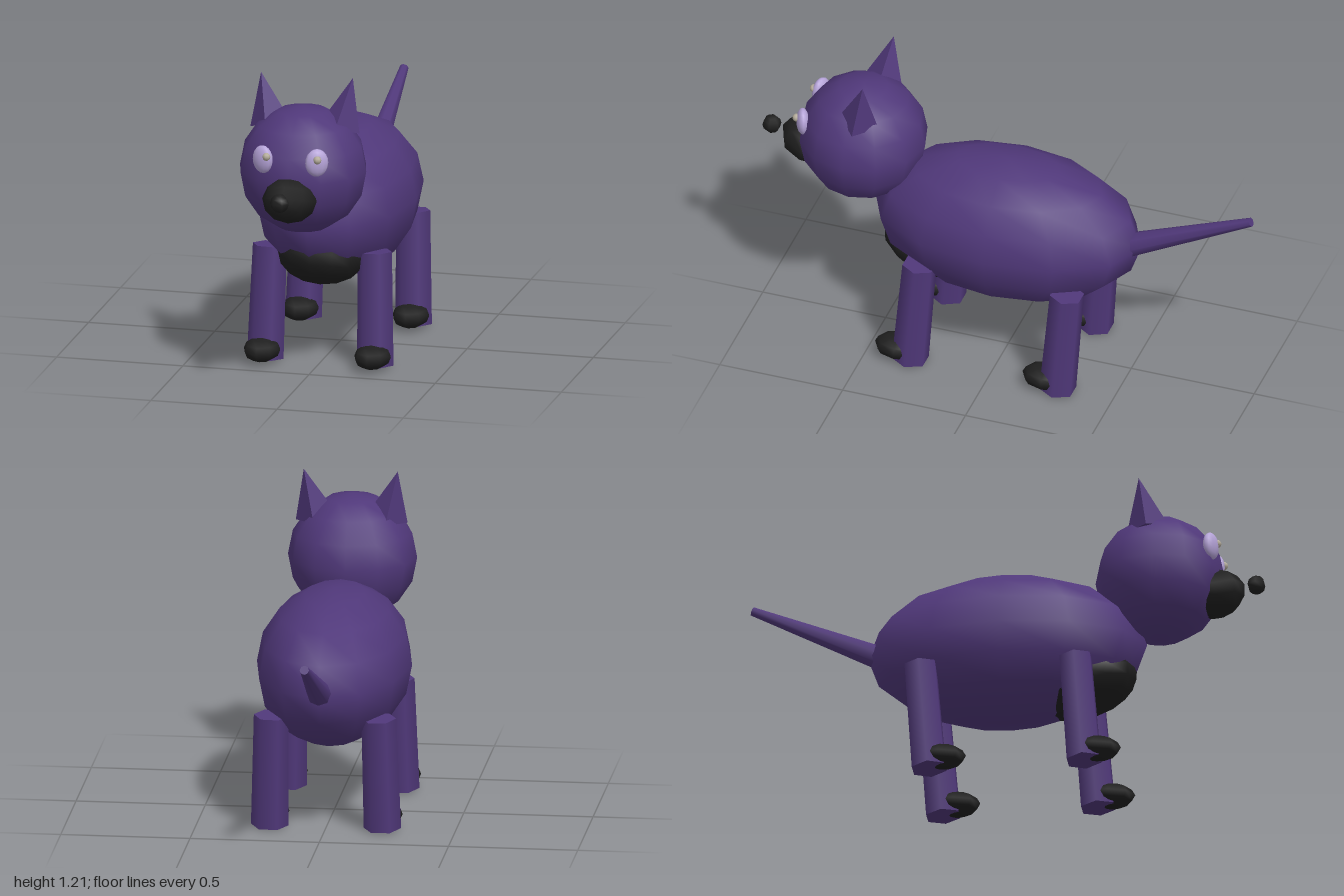
import * as THREE from 'three';

export function createModel() {
  const material = (name, color) => {
    const m = new THREE.MeshStandardMaterial({ color });
    m.name = name;
    return m;
  };
  const purple = material('purple fur', 0x50387a);
  const black = material('black', 0x1f1f1f);
  const lavender = material('lavender eye', 0xb5a3d8);
  const beige = material('beige pupil', 0xb5ad9c);

  const root = new THREE.Group();
  root.name = 'animal';

  const add = (name, geometry, mat, x, y, z) => {
    const mesh = new THREE.Mesh(geometry, mat);
    mesh.name = name;
    mesh.position.set(x, y, z);
    root.add(mesh);
    return mesh;
  };
  // Ellipsoid with given radii and segment counts
  const ball = (name, mat, [x, y, z], [rx, ry, rz], w = 12, h = 8) => {
    const mesh = add(name, new THREE.SphereGeometry(1, w, h), mat, x, y, z);
    mesh.scale.set(rx, ry, rz);
    return mesh;
  };
  // Tapered cylinder running from point a to point b
  const limb = (name, a, b, ra, rb, sides, turn = 0) => {
    const from = new THREE.Vector3(...a), to = new THREE.Vector3(...b);
    const axis = to.clone().sub(from);
    const geometry = new THREE.CylinderGeometry(rb, ra, axis.length(), sides);
    geometry.rotateY(turn);
    const mid = from.add(to).multiplyScalar(0.5);
    const mesh = add(name, geometry, purple, mid.x, mid.y, mid.z);
    mesh.quaternion.setFromUnitVectors(new THREE.Vector3(0, 1, 0), axis.normalize());
    return mesh;
  };

  // Trunk, chest patch and tail
  ball('body', purple, [0, 0.585, 0], [0.3, 0.3, 0.54]);
  ball('chestPatch', black, [0, 0.425, 0.3], [0.17, 0.112, 0.21]).rotation.x = -0.3;
  limb('tail', [0, 0.58, -0.47], [0, 0.818, -0.988], 0.05, 0.018, 8);

  // Head, muzzle and floating nose
  ball('head', purple, [0, 0.855, 0.59], [0.25, 0.25, 0.25]);
  ball('muzzle', black, [0, 0.785, 0.805], [0.108, 0.09, 0.118], 8, 6).rotation.x = -0.3;
  ball('nose', black, [0, 0.815, 0.963], [0.037, 0.037, 0.037], 6, 6);

  // Four-sided ear with flat faces
  const earGeometry = new THREE.ConeGeometry(0.08, 0.2, 4).toNonIndexed();
  earGeometry.computeVertexNormals();

  for (const side of [-1, 1]) {
    const label = side > 0 ? 'left' : 'right';

    const ear = add(label + 'Ear', earGeometry, purple, side * 0.16, 1.113, 0.545);
    ear.rotation.set(-0.15, 0, -side * 0.22);

    ball(label + 'Eye', lavender, [side * 0.107, 0.94, 0.8], [0.045, 0.055, 0.025], 12, 10)
      .rotation.y = side * 0.4;
    // Both pupils look slightly toward the animal's left
    ball(label + 'Pupil', beige, [side * 0.101 + 0.014, 0.957, 0.823], [0.016, 0.016, 0.016], 8, 6);

    // Legs lean outward and forward toward the feet
    for (const [part, z] of [['Front', 0.289], ['Back', -0.311]]) {
      limb(label + part + 'Leg', [side * 0.218, 0.009, z + 0.034], [side * 0.208, 0.453, z],
        0.0725, 0.0675, 6, Math.PI / 6);
      ball(label + part + 'Foot', black, [side * 0.219, 0.055, z + 0.079], [0.072, 0.047, 0.098], 8, 6);
    }
  }
  return root;
}
